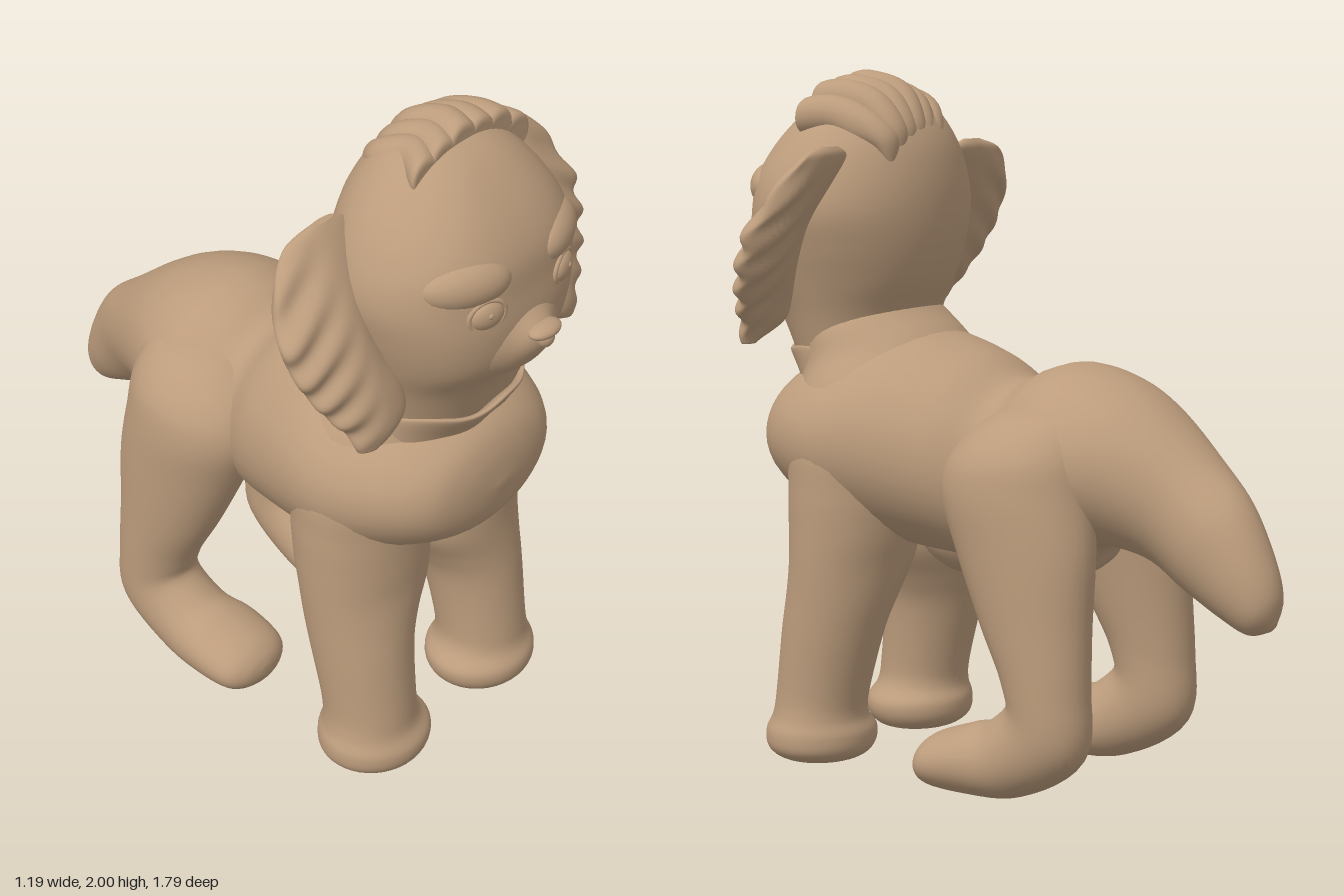
import * as THREE from 'three';

const tan = new THREE.MeshStandardMaterial({ color: 0xbc9c7c });
tan.name = 'tan clay';

// Smooth closed loft. Section: [x, y, z, half width, half depth, tilt];
// tilt 0 is a horizontal ring, PI/2 an upright ring facing z.
function loft(sections, { sides = 40, steps = 6, warp } = {}) {
  const pos = [], idx = [], last = sections.length - 1;
  const at = (i, k) => sections[Math.min(last, Math.max(0, i))][k] || 0;
  const rings = last * steps + 1;
  const p = new THREE.Vector3();
  const push = () => { if (warp) warp(p); pos.push(p.x, p.y, p.z); };
  const sample = (j) => {
    const i = Math.min(last - 1, Math.floor(j / steps)), t = j / steps - i;
    return [0, 1, 2, 3, 4, 5].map((k) => {
      const a = at(i - 1, k), b = at(i, k), c = at(i + 1, k), d = at(i + 2, k);
      return b + 0.5 * t * (c - a + t * (2 * a - 5 * b + 4 * c - d + t * (3 * (b - c) + d - a)));
    });
  };
  for (let j = 0; j < rings; j++) {
    const [x, y, z, a, b, tilt] = sample(j);
    const w = Math.max(a, 0.001), h = Math.max(b, 0.001);
    for (let s = 0; s < sides; s++) {
      const q = (s / sides) * Math.PI * 2, v = h * Math.sin(q);
      p.set(x + w * Math.cos(q), y + v * Math.sin(tilt), z + v * Math.cos(tilt));
      push();
      if (j < rings - 1) {
        const n = (s + 1) % sides, A = j * sides + s, B = j * sides + n;
        idx.push(A, B, A + sides, B, B + sides, A + sides);
      }
    }
  }
  // end caps
  const end = rings * sides, top = (rings - 1) * sides;
  for (const sec of [sections[0], sections[last]]) { p.set(sec[0], sec[1], sec[2]); push(); }
  for (let s = 0; s < sides; s++) {
    const n = (s + 1) % sides;
    idx.push(end, n, s, end + 1, top + s, top + n);
  }
  // turn the faces outward
  let volume = 0;
  const A = new THREE.Vector3(), B = new THREE.Vector3(), C = new THREE.Vector3();
  for (let i = 0; i < idx.length; i += 3) {
    A.fromArray(pos, idx[i] * 3); B.fromArray(pos, idx[i + 1] * 3); C.fromArray(pos, idx[i + 2] * 3);
    volume += A.dot(B.cross(C));
  }
  if (volume < 0) idx.reverse();
  const g = new THREE.BufferGeometry();
  g.setAttribute('position', new THREE.Float32BufferAttribute(pos, 3));
  g.setIndex(idx);
  g.computeVertexNormals();
  return g;
}

export function createModel() {
  const model = new THREE.Group();
  model.name = 'dog';
  const add = (name, geometry, parent = model) => {
    const m = new THREE.Mesh(geometry, tan);
    m.name = name;
    parent.add(m);
    return m;
  };
  const ball = (name, [x, y, z], [a, b, c], parent = model) => {
    const m = add(name, new THREE.SphereGeometry(1, 32, 20), parent);
    m.position.set(x, y, z);
    m.scale.set(a, b, c);
    return m;
  };
  const up = Math.PI / 2;

  // chest, waist, rump and tail in one sweep
  add('bodyAndTail', loft([
    [0, 0.95, 0.758, 0.02, 0.01, up],
    [0, 0.95, 0.742, 0.16, 0.1, up],
    [0, 0.955, 0.7, 0.265, 0.165, up],
    [0, 0.955, 0.6, 0.35, 0.225, up],
    [0, 0.95, 0.45, 0.405, 0.28, up],
    [0, 0.95, 0.3, 0.395, 0.31, up],
    [0, 0.91, 0.1, 0.335, 0.295, up],
    [0, 0.87, -0.03, 0.28, 0.268, up],
    [0, 0.89, -0.14, 0.3, 0.29, up],
    [0, 0.9, -0.25, 0.32, 0.295, up],
    [0.015, 0.91, -0.39, 0.265, 0.225, 1.85],
    [0.03, 0.825, -0.57, 0.175, 0.17, 2.1],
    [0.06, 0.735, -0.7, 0.13, 0.153, 2.15],
    [0.075, 0.635, -0.8, 0.1, 0.11, 2.2],
    [0.08, 0.57, -0.855, 0.068, 0.07, 2.2],
    [0.08, 0.54, -0.88, 0.015, 0.015, 2.2],
  ]));
  ball('belly', [0, 0.72, 0.13], [0.17, 0.16, 0.19]);

  // neck with a soft frill under the chin
  add('neck', loft([
    [0, 0.98, 0.44, 0.37, 0.27, -0.1],
    [0, 1.1, 0.43, 0.34, 0.25, -0.2],
    [0, 1.19, 0.46, 0.28, 0.22, -0.25],
    [0, 1.27, 0.5, 0.25, 0.185, -0.2],
    [0, 1.33, 0.52, 0.2, 0.15, -0.2],
  ]));
  add('neckFrill', loft([
    [0, 1.08, 0.53, 0.25, 0.13, 0],
    [0, 1.14, 0.53, 0.25, 0.165, 0],
    [0, 1.2, 0.535, 0.25, 0.2, 0],
    [0, 1.2, 0.535, 0.235, 0.18, 0],
    [0, 1.15, 0.53, 0.22, 0.14, 0],
  ], { sides: 64, warp: (p) => { p.y += 0.008 * Math.sin(Math.atan2(p.x, p.z - 0.53) * 5 + 0.6); } }));

  // head, with a broader face than nape
  add('head', loft([
    [0, 1.17, 0.53, 0.235, 0.16],
    [0, 1.3, 0.54, 0.272, 0.2],
    [0, 1.4, 0.55, 0.307, 0.255],
    [0, 1.5, 0.545, 0.34, 0.277],
    [0, 1.6, 0.535, 0.36, 0.277],
    [0, 1.7, 0.53, 0.338, 0.267],
    [0, 1.8, 0.515, 0.283, 0.228],
    [0, 1.89, 0.5, 0.203, 0.16],
    [0, 1.94, 0.49, 0.12, 0.09],
    [0, 1.955, 0.485, 0.02, 0.015],
  ], {
    sides: 56,
    warp: (p) => {
      const q = Math.atan2(p.z - 0.53, p.x);
      const f = q > 0 ? 1 + 0.05 * Math.sin(2 * q) ** 2 : 1;
      p.x *= f;
      p.z = 0.53 + (p.z - 0.53) * f;
    },
  }));

  // muzzle, nose and mouth
  add('muzzle', loft([
    [0, 1.47, 0.7, 0.24, 0.14, up],
    [0, 1.465, 0.76, 0.205, 0.125, up],
    [0, 1.46, 0.795, 0.15, 0.105, up],
    [0, 1.46, 0.825, 0.095, 0.078, up],
    [0, 1.468, 0.855, 0.05, 0.042, up],
    [0, 1.47, 0.87, 0.01, 0.01, up],
  ]));
  ball('nose', [0, 1.498, 0.86], [0.056, 0.02, 0.035]);
  ball('noseTip', [0, 1.475, 0.862], [0.028, 0.03, 0.026]);
  const lip = new THREE.CatmullRomCurve3([[-0.04, 1.395, 0.808], [0, 1.404, 0.825], [0.04, 1.395, 0.808]]
    .map((v) => new THREE.Vector3(...v)));
  add('lip', new THREE.TubeGeometry(lip, 12, 0.012, 8));

  // tuft of slanting locks on the crown, drawn together at the back
  for (let i = 0; i < 6; i++) {
    const x = -0.16 + i * 0.072, back = 0.04 + x * 0.6, mid = (x + back) / 2;
    const drop = 1.5 * x * x + 0.008 * (i % 2);
    add('hairLock', loft([
      [x + 0.02, 1.925 - drop, 0.575, 0.035, 0.03, up],
      [x + 0.02, 1.935 - drop, 0.565, 0.055, 0.055, up],
      [mid + 0.015, 1.94 - drop, 0.48, 0.056, 0.055, up],
      [mid, 1.905 - drop, 0.4, 0.052, 0.055, 2],
      [back, 1.83 - drop * 0.5, 0.335, 0.045, 0.035, 2.5],
      [back, 1.77 - drop * 0.5, 0.318, 0.015, 0.01, 2.8],
    ], { sides: 20 }));
  }

  // ear joined along the head, with ripples running out to a scalloped edge
  const earGeometry = loft([
    [0.34, 1.79, 0.4, 0.04, 0.01],
    [0.36, 1.76, 0.408, 0.105, 0.028],
    [0.405, 1.68, 0.45, 0.133, 0.046],
    [0.447, 1.57, 0.51, 0.138, 0.058],
    [0.435, 1.46, 0.56, 0.135, 0.058],
    [0.395, 1.36, 0.603, 0.125, 0.05],
    [0.375, 1.29, 0.625, 0.095, 0.042],
    [0.42, 1.235, 0.64, 0.03, 0.02],
  ], {
    sides: 48, steps: 10,
    warp: (p) => {
      const out = THREE.MathUtils.smoothstep(p.x, 0.36, 0.54);
      const wave = Math.sin((p.y + 0.75 * p.x) * 64);
      p.z += out * (0.009 * wave - 0.03);
      p.x += 0.006 * out * wave;
    },
  });

  // front legs widen inward to meet in an arch under the chest
  const frontLeg = loft([
    [0.17, 1.06, 0.42, 0.1, 0.12],
    [0.2, 0.96, 0.425, 0.19, 0.18],
    [0.2, 0.82, 0.425, 0.205, 0.182],
    [0.197, 0.7, 0.43, 0.207, 0.178],
    [0.2, 0.6, 0.44, 0.201, 0.167],
    [0.226, 0.5, 0.455, 0.17, 0.158],
    [0.244, 0.4, 0.475, 0.148, 0.149],
    [0.25, 0.22, 0.51, 0.135, 0.135],
    [0.25, 0.15, 0.52, 0.143, 0.135],
    [0.24, 0.1, 0.525, 0.17, 0.155],
    [0.24, 0.05, 0.525, 0.162, 0.148],
    [0.235, 0.018, 0.525, 0.115, 0.105],
    [0.235, 0.012, 0.525, 0.02, 0.02],
  ]);
  // hind legs slope into the hips, bend at the hock and run into the foot
  const hindLeg = loft([
    [0.13, 1.1, -0.22, 0.05, 0.06, 0],
    [0.16, 1.06, -0.2, 0.13, 0.15, 0],
    [0.2, 0.97, -0.17, 0.175, 0.21, 0],
    [0.23, 0.86, -0.16, 0.172, 0.228, 0],
    [0.25, 0.7, -0.2, 0.15, 0.21, 0],
    [0.265, 0.5, -0.245, 0.128, 0.165, 0],
    [0.275, 0.34, -0.285, 0.113, 0.13, 0.1],
    [0.275, 0.21, -0.285, 0.11, 0.135, 0.6],
    [0.27, 0.12, -0.16, 0.118, 0.115, 1.1],
    [0.265, 0.1, -0.04, 0.135, 0.1, 1.5],
    [0.265, 0.085, 0.07, 0.125, 0.078, up],
    [0.265, 0.08, 0.115, 0.08, 0.048, up],
    [0.265, 0.08, 0.13, 0.02, 0.015, up],
  ]);

  // paired parts, mirrored to the right
  const mirror = (g) => {
    const m = g.clone().scale(-1, 1, 1);
    m.setIndex([...g.index.array].reverse());
    m.computeVertexNormals();
    return m;
  };
  for (const [side, s] of [['left', 1], ['right', -1]]) {
    const own = (g) => (s > 0 ? g : mirror(g));
    add(side + 'Ear', own(earGeometry));
    add(side + 'FrontLeg', own(frontLeg));
    add(side + 'HindLeg', own(hindLeg));

    const eye = new THREE.Group();
    eye.name = side + 'Eye';
    eye.position.set(s * 0.155, 1.585, 0.79);
    eye.rotation.y = s * 0.3;
    model.add(eye);
    ball('eyeball', [0, 0, 0], [0.052, 0.04, 0.024], eye);
    ball('pupil', [0, 0.008, 0.022], [0.008, 0.008, 0.005], eye);
    const lid = add('eyelid', new THREE.TorusGeometry(0.055, 0.009, 10, 36), eye);
    lid.scale.y = 0.78;
    ball(side + 'Brow', [s * 0.175, 1.665, 0.73], [0.13, 0.07, 0.066]).rotation.y = s * 0.45;
  }
  return model;
}
